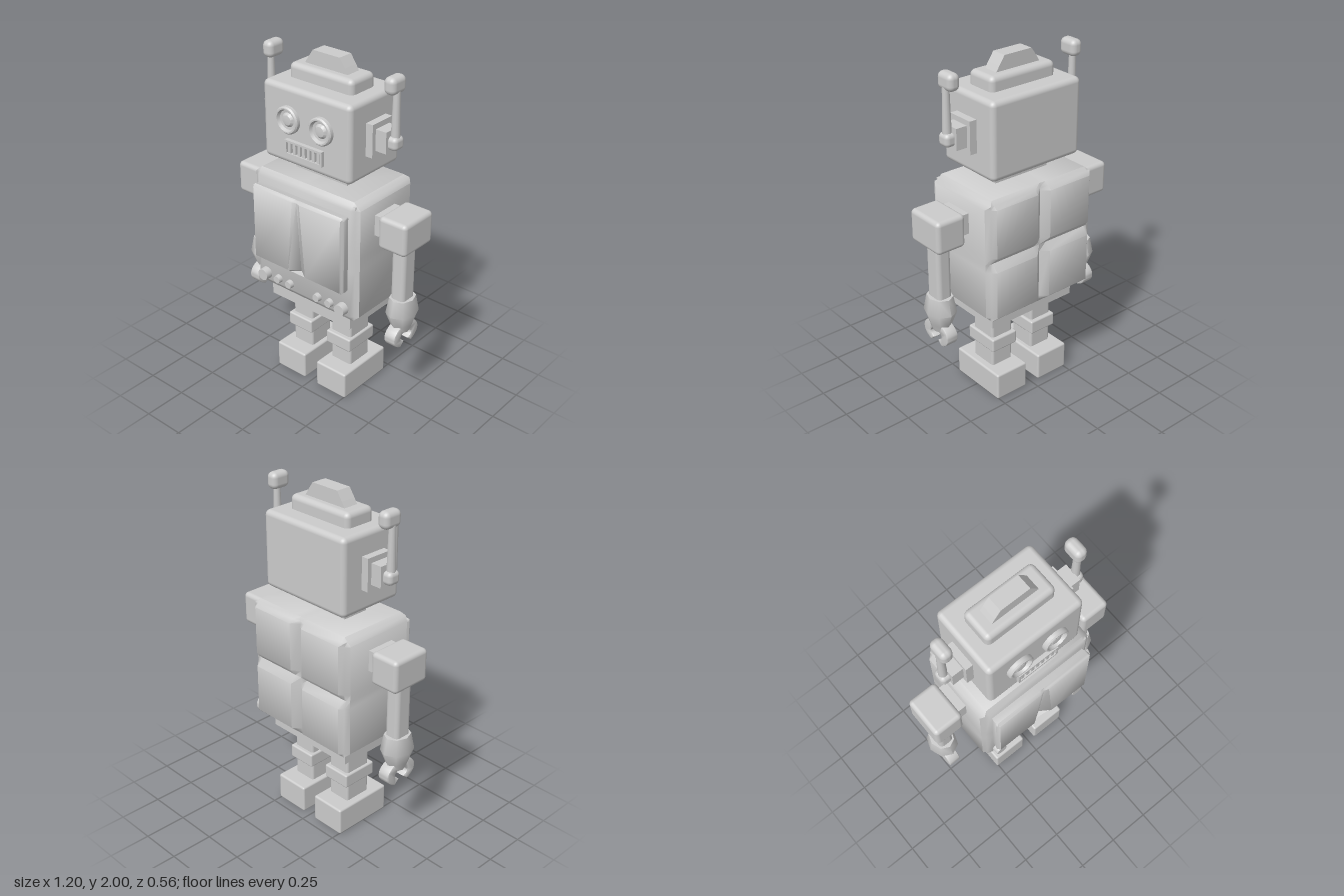
import * as THREE from 'three';
import { toCreasedNormals } from 'three/addons/utils/BufferGeometryUtils.js';
import { RoundedBoxGeometry } from 'three/addons/geometries/RoundedBoxGeometry.js';

const material = new THREE.MeshStandardMaterial({ color: 0xcccccc });

// Adds a named mesh to a parent
function add(parent, name, geometry, x = 0, y = 0, z = 0) {
  const mesh = new THREE.Mesh(geometry, material);
  mesh.name = name;
  mesh.position.set(x, y, z);
  parent.add(mesh);
  return mesh;
}

// Box given by its extents, rounded when r > 0
function block(parent, name, [x0, x1], [y0, y1], [z0, z1], r = 0) {
  const size = [x1 - x0, y1 - y0, z1 - z0];
  const geometry = r ? new RoundedBoxGeometry(...size, 3, r) : new THREE.BoxGeometry(...size);
  return add(parent, name, geometry, (x0 + x1) / 2, (y0 + y1) / 2, (z0 + z1) / 2);
}

// Chamfered box on uneven grid lines; rule(v, i, j, k) may move vertices further
function gridBox(xs, ys, zs, rule) {
  const lines = [xs, ys, zs];
  const n = lines.map((a) => a.length - 1);
  const geometry = new THREE.BoxGeometry(...n, ...n);
  const pos = geometry.attributes.position;
  for (let p = 0; p < pos.count; p++) {
    const index = [pos.getX(p), pos.getY(p), pos.getZ(p)].map((c, a) => Math.round(c + n[a] / 2));
    const outer = index.map((i, a) => i === 0 || i === n[a]);
    const onEdge = outer.filter(Boolean).length > 1;
    const v = new THREE.Vector3(...index.map((i, a) => {
      const line = lines[a];
      if (!onEdge || !outer[a]) return line[i];
      return i === 0 ? (line[0] + line[1]) / 2 : (line[i] + line[i - 1]) / 2;
    }));
    rule(v, ...index);
    pos.setXYZ(p, v.x, v.y, v.z);
  }
  return toCreasedNormals(geometry, 0.9);
}

// Cylinder facing forward
function disc(r0, r1, depth) {
  return new THREE.CylinderGeometry(r1, r0, depth, 24).rotateX(Math.PI / 2);
}

// Lathe profile turned to face forward
function dish(points) {
  const profile = points.map(([x, y]) => new THREE.Vector2(x, y));
  return toCreasedNormals(new THREE.LatheGeometry(profile, 32).rotateX(Math.PI / 2), 0.6);
}

function buildHead() {
  const head = new THREE.Group();
  head.name = 'head';
  block(head, 'headBox', [-0.3, 0.3], [1.4, 1.84], [-0.22, 0.195], 0.03);
  block(head, 'headCap', [-0.215, 0.215], [1.8, 1.92], [-0.11, 0.082], 0.03);
  block(head, 'neck', [-0.18, 0.18], [1.3, 1.42], [-0.09, 0.07]);

  // Crest with sloping ends
  const crest = new THREE.Shape();
  crest.moveTo(-0.15, 1.91);
  crest.lineTo(0.15, 1.91);
  crest.lineTo(0.125, 1.95);
  crest.lineTo(0.09, 2);
  crest.lineTo(-0.09, 2);
  crest.lineTo(-0.125, 1.95);
  add(head, 'crest', new THREE.ExtrudeGeometry(crest, { depth: 0.09, bevelEnabled: false }), 0, 0, -0.06);

  // Mouth grille: frame with upright teeth
  const frame = new THREE.Shape();
  frame.moveTo(-0.128, -0.043);
  frame.lineTo(0.128, -0.043);
  frame.lineTo(0.128, 0.043);
  frame.lineTo(-0.128, 0.043);
  const hole = new THREE.Path();
  hole.moveTo(-0.116, -0.031);
  hole.lineTo(-0.116, 0.031);
  hole.lineTo(0.116, 0.031);
  hole.lineTo(0.116, -0.031);
  frame.holes.push(hole);
  add(head, 'mouthFrame', new THREE.ExtrudeGeometry(frame, { depth: 0.03, bevelEnabled: false }), 0, 1.507, 0.188);
  for (let i = -3; i <= 3; i++) {
    block(head, 'tooth', [i * 0.033 - 0.009, i * 0.033 + 0.009], [1.474, 1.54], [0.188, 0.212]);
  }

  for (const s of [1, -1]) {
    // Round eye with sunken iris and raised pupil
    add(head, 'eye', dish([[0.077, 0], [0.077, 0.022], [0.07, 0.03], [0.062, 0.03], [0.054, 0.012],
      [0.04, 0.01], [0.028, 0.022], [0, 0.026]]), s * 0.113, 1.66, 0.193);

    // Stepped ear with upright aerial
    const side = (a, b) => (s > 0 ? [a, b] : [-b, -a]);
    block(head, 'earPlate', side(0.29, 0.343), [1.53, 1.715], [-0.09, 0.07]);
    block(head, 'earBlock', side(0.33, 0.41), [1.565, 1.685], [-0.065, 0.045]);
    block(head, 'aerialBase', side(0.39, 0.46), [1.58, 1.655], [-0.05, 0.03], 0.025);
    add(head, 'aerialRod', new THREE.CylinderGeometry(0.019, 0.025, 0.28, 12), s * 0.427, 1.76, -0.01);
    block(head, 'aerialTip', side(0.375, 0.447), [1.88, 1.975], [-0.072, 0.045], 0.03);
  }
  return head;
}

function buildBody() {
  const body = new THREE.Group();
  body.name = 'body';

  // Torso with a cross-shaped groove over the back
  add(body, 'torso', gridBox(
    [-0.37, -0.325, -0.045, 0, 0.045, 0.325, 0.37],
    [0.585, 0.625, 0.91, 0.953, 0.995, 1.28, 1.32],
    [-0.28, -0.235, 0.19, 0.22],
    (v, i, j, k) => { if (k === 0 && (i === 3 || j === 3)) v.z = -0.243; }));

  // Chest doors with a valley that widens and deepens downwards
  add(body, 'chestDoors', gridBox(
    [-0.322, -0.308, -0.04, 0, 0.04, 0.308, 0.322],
    [0.785, 0.8, 1.235, 1.25],
    [0.2, 0.265, 0.283],
    (v, i, j, k) => {
      const low = (1.25 - v.y) / 0.465;
      if (i === 2 || i === 4) v.x *= 0.6 + low;
      if (k === 2 && i === 3) v.z -= 0.008 + 0.035 * low;
    }));

  block(body, 'hips', [-0.29, 0.29], [0.5, 0.6], [-0.19, 0.17]);
  for (const s of [1, -1]) {
    add(body, 'largeKnob', disc(0.037, 0.034, 0.05), s * 0.283, 0.667, 0.235);
    add(body, 'smallKnob', disc(0.026, 0.022, 0.03), s * 0.19, 0.663, 0.23);
    add(body, 'smallKnob', disc(0.026, 0.022, 0.03), s * 0.103, 0.663, 0.23);
  }
  return body;
}

// Open claw outline in the side plane, extruded across
function clawGeometry() {
  const shape = new THREE.Shape();
  const gap = 0.5;
  shape.absellipse(0, 0, 0.103, 0.068, -Math.PI / 2 + gap, Math.PI * 1.5 - gap, false);
  shape.absellipse(0, -0.008, 0.055, 0.036, Math.PI * 1.5 - gap, -Math.PI / 2 + gap, true);
  const geometry = new THREE.ExtrudeGeometry(shape, {
    depth: 0.056, curveSegments: 14, bevelThickness: 0.008, bevelSize: 0.006, bevelSegments: 2,
  });
  geometry.translate(0, 0, -0.028).rotateY(Math.PI / 2);
  return toCreasedNormals(geometry, 0.7);
}

function buildArm(s) {
  const arm = new THREE.Group();
  arm.name = s > 0 ? 'leftArm' : 'rightArm';
  const side = (a, b) => (s > 0 ? [a, b] : [-b, -a]);
  block(arm, 'shoulderJoint', side(0.35, 0.44), [1.09, 1.21], [-0.1, 0.07]);
  block(arm, 'shoulder', side(0.418, 0.598), [1.045, 1.235], [-0.138, 0.108], 0.025);
  block(arm, 'upperArm', side(0.463, 0.553), [0.7, 1.07], [-0.066, 0.044], 0.025);

  // Eight-sided cuff, deeper than wide
  const cuff = [[0, 0.51], [0.045, 0.51], [0.06, 0.555], [0.085, 0.63], [0.068, 0.725], [0, 0.725]];
  const geometry = new THREE.LatheGeometry(cuff.map(([x, y]) => new THREE.Vector2(x, y)), 8);
  geometry.scale(1, 1, 1.2);
  add(arm, 'cuff', toCreasedNormals(geometry, 1), s * 0.51, 0, -0.012);
  add(arm, 'claw', clawGeometry(), s * 0.51, 0.492, -0.01);
  return arm;
}

function buildLeg(s) {
  const leg = new THREE.Group();
  leg.name = s > 0 ? 'leftLeg' : 'rightLeg';
  const side = (a, b) => (s > 0 ? [a, b] : [-b, -a]);
  block(leg, 'shin', side(0.073, 0.217), [0.14, 0.52], [-0.098, 0.072], 0.015);
  block(leg, 'knee', side(0.058, 0.232), [0.272, 0.355], [-0.122, 0.1], 0.01);
  block(leg, 'foot', side(0.045, 0.26), [0, 0.165], [-0.198, 0.175], 0.012);
  return leg;
}

export function createModel() {
  const robot = new THREE.Group();
  robot.name = 'robot';
  robot.add(buildHead(), buildBody());
  for (const s of [1, -1]) robot.add(buildArm(s), buildLeg(s));
  return robot;
}
